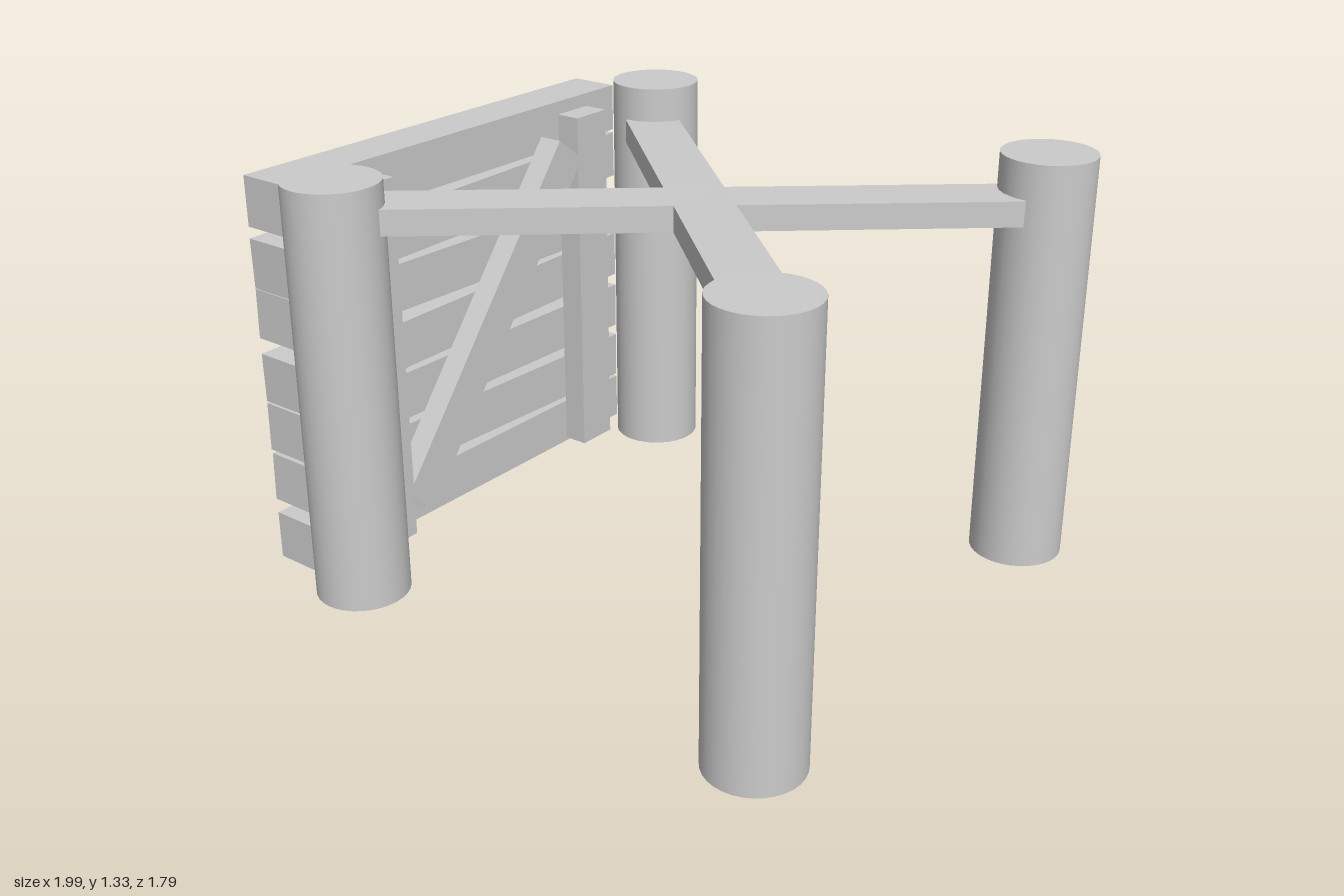
import * as THREE from 'three';

const material = new THREE.MeshStandardMaterial({ color: 0xcccccc });

export function createModel() {
  const model = new THREE.Group();
  model.name = 'fencedPostFrame';

  const add = (parent, name, geometry, x, y, z) => {
    const mesh = new THREE.Mesh(geometry, material);
    mesh.name = name;
    mesh.position.set(x, y, z);
    parent.add(mesh);
    return mesh;
  };
  const group = (name) => {
    const g = new THREE.Group();
    g.name = name;
    model.add(g);
    return g;
  };

  // Four round posts
  const cx = 0.101, reach = 0.746;
  const posts = group('posts');
  for (const sx of [-1, 1]) {
    for (const sz of [-1, 1]) {
      add(posts, 'post', new THREE.CylinderGeometry(0.147, 0.147, 1.33, 32),
        cx + sx * reach, 0.665, sz * reach);
    }
  }

  // Crossed beams, both rising slightly toward the front
  const beams = group('crossBeams');
  for (const s of [-1, 1]) {
    const beam = add(beams, 'crossBeam', new THREE.BoxGeometry(0.18, 0.08, 1.91), cx, 1.196, 0);
    beam.rotation.set(-0.02, s * THREE.MathUtils.degToRad(46.5), 0, 'YXZ');
  }

  // Fence planks: [centre height, tilt]
  const planks = group('fencePlanks');
  const rows = [[0.08, 0], [0.27, 0.026], [0.457, 0.01], [0.642, -0.014],
    [0.831, 0.017], [1.019, -0.017], [1.203, 0]];
  for (const [y, tilt] of rows) {
    const plank = add(planks, 'plank', new THREE.BoxGeometry(0.167, 0.16, 1.51), -0.916, y, 0.017);
    plank.rotation.x = -tilt;
  }

  // Upright battens and the diagonal brace behind the planks
  const bracing = group('fenceBracing');
  const bx = -0.758, thick = 0.085;
  for (const z of [0.517, -0.482]) {
    add(bracing, 'batten', new THREE.BoxGeometry(thick, 1.215, 0.148), bx, 0.643, z);
  }
  const brace = add(bracing, 'diagonalBrace', new THREE.BoxGeometry(thick - 0.002, 1.29, 0.14), bx, 0.64, 0.022);
  brace.rotation.x = -0.66;

  return model;
}
